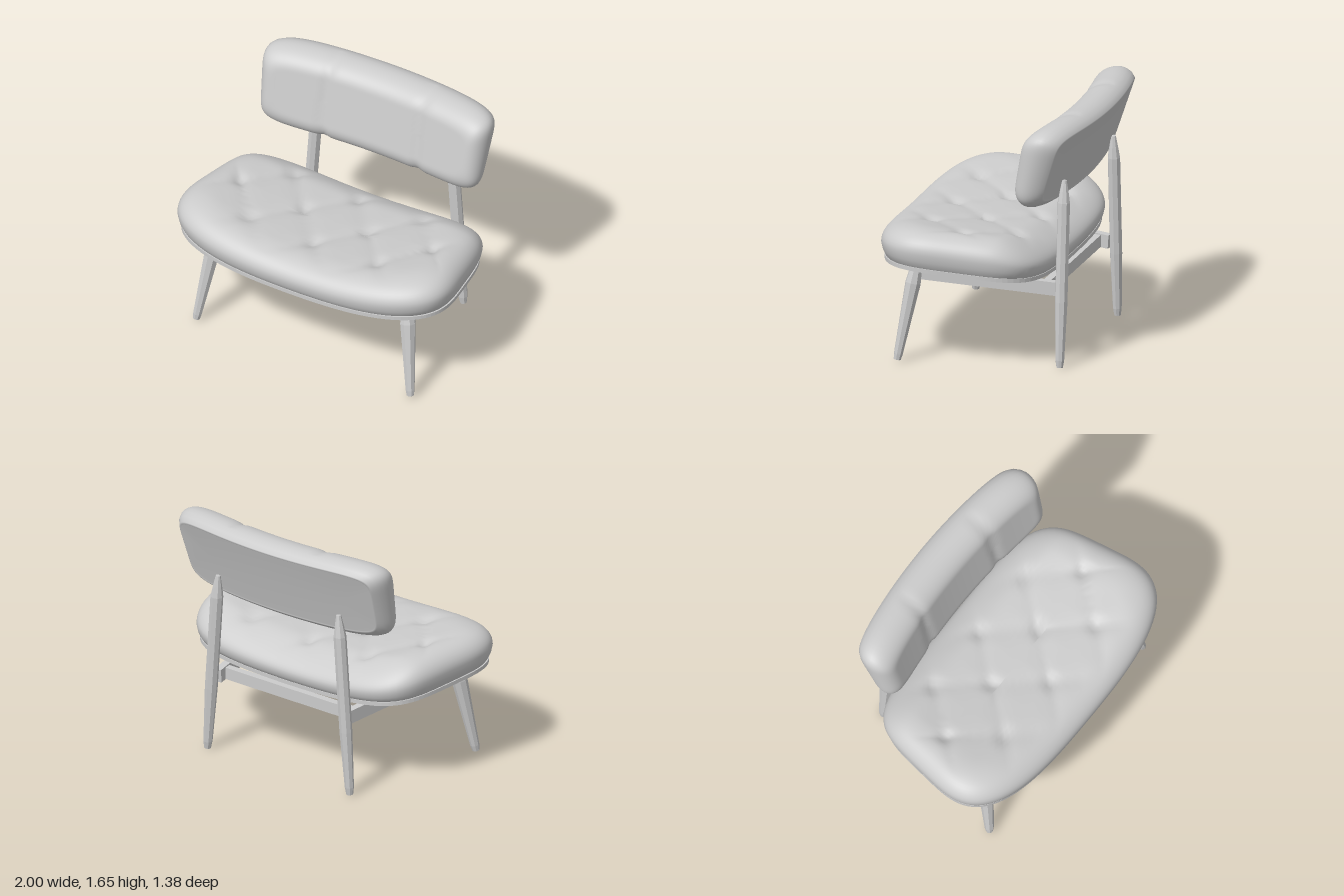
import * as THREE from 'three';
import { mergeVertices } from 'three/addons/utils/BufferGeometryUtils.js';

const material = new THREE.MeshStandardMaterial({ color: 0xcccccc });
const flat = new THREE.MeshStandardMaterial({ color: 0xcccccc, flatShading: true });
const V = (x, y, z) => new THREE.Vector3(x, y, z);

function part(name, geometry, mat = material) {
  const mesh = new THREE.Mesh(geometry, mat);
  mesh.name = name;
  return mesh;
}

// Upper half of a pillow profile: [inset from the outline, height]
function puff(halfDepth, edge, mid, top) {
  const rows = [];
  for (let k = 0; k <= 24; k++) {
    const inset = halfDepth * (1 - k / 24) ** 1.6;
    const r = Math.max(0, 1 - inset / edge);
    rows.push([inset, mid + (top - mid) * Math.sqrt(1 - r * r)]);
  }
  return rows;
}

// Closed solid from inset superellipse rings; n(sin) is the squareness, warp places each point
function ringSolid(a, b, n, rows, warp, segs = 128) {
  const pos = [], index = [];
  for (const [inset, d] of rows) {
    for (let i = 0; i < segs; i++) {
      const t = (i / segs) * Math.PI * 2, c = Math.cos(t), s = Math.sin(t), e = n(s);
      const k = (Math.abs(c) ** e + Math.abs(s) ** e) ** (-1 / e);
      pos.push(...warp((a - inset) * c * k, (b - inset) * s * k, d, inset));
    }
  }
  for (let j = 0; j < rows.length - 1; j++) {
    for (let i = 0; i < segs; i++) {
      const p = j * segs + i, q = j * segs + ((i + 1) % segs);
      index.push(p, p + segs, q, q, p + segs, q + segs);
    }
  }
  const g = new THREE.BufferGeometry();
  g.setAttribute('position', new THREE.Float32BufferAttribute(pos, 3));
  g.setIndex(index);
  const merged = mergeVertices(g, 1e-5);
  merged.computeVertexNormals();
  return merged;
}

// Tapered turned leg from foot to top; profile is [fraction along, radius]
function leg(name, foot, top, profile) {
  const dir = top.clone().sub(foot), len = dir.length();
  const pts = profile.map(([f, r]) => new THREE.Vector2(r, f * len));
  const mesh = part(name, new THREE.LatheGeometry(pts, 8), flat);
  mesh.position.copy(foot);
  mesh.quaternion.setFromUnitVectors(V(0, 1, 0), dir.normalize());
  return mesh;
}

// Rectangular rail between two points
function rail(name, a, b, height, thick) {
  const mesh = part(name, new THREE.BoxGeometry(thick, height, a.distanceTo(b)), flat);
  mesh.position.copy(a).lerp(b, 0.5);
  mesh.lookAt(b);
  return mesh;
}

// Saddle-shaped base plane of the seat
const seatBase = (x, z) => 0.605 + 0.065 * z + 0.06 * x * x;
const seatSquareness = (s) => (s > 0 ? 5 : 3.1);
const seatTaper = (z) => 1 + 0.16 * (z - 0.11);

// Button tufting: creases along a diamond lattice, with dimples where they cross
function tuft(x, z) {
  const u = x / 0.48, v = (z - 0.07) / 0.29;
  const p = Math.abs(Math.cos(Math.PI * (u + v / 2)));
  const q = Math.abs(Math.cos(Math.PI * (u - v / 2)));
  return 0.012 * (1 - Math.sqrt(Math.min(p, q))) + 0.03 * Math.exp(-(p * p + q * q) * 6);
}

function seatCushion() {
  const rows = [...puff(0.575, 0.22, 0.1, 0.25),
    [0.008, 0.06], [0.022, 0.03], [0.045, 0], [0.12, 0], [0.575, 0]];
  return ringSolid(0.98, 0.575, seatSquareness, rows, (u, v, d, inset) => {
    const z = 0.115 - v, x = u * seatTaper(z);
    const fade = d > 0.1 ? THREE.MathUtils.smoothstep(inset, 0.06, 0.2) : 0;
    // the top dips in the middle, swells at the sides and droops at the back
    const droop = 0.045 * THREE.MathUtils.smoothstep(-z, 0.18, 0.46);
    const swell = (0.05 * x * x - 0.012 - droop) * (d / 0.25);
    return [x, seatBase(x, z) + d + swell - fade * tuft(x, z), z];
  });
}

function seatBoard() {
  const rows = [[0.575, 0.022], [0.02, 0.022], [0.02, -0.004], [0.575, -0.004]];
  return ringSolid(0.98, 0.575, seatSquareness, rows, (u, v, d) => {
    const z = 0.115 - v, x = u * seatTaper(z);
    return [x, seatBase(x, z) + d, z];
  });
}

function backCushion() {
  // flat inset panel closes the rear
  const rows = [...puff(0.283, 0.12, 0, 0.138),
    [0.005, -0.03], [0.02, -0.065], [0.045, -0.092], [0.055, -0.096], [0.06, -0.088], [0.283, -0.09]];
  return ringSolid(0.83, 0.283, () => 7, rows, (u, v, d) => {
    const x = u * (1 + 0.1 * v);
    // seams split the front into three panels
    const seam = d > -0.02 ? Math.exp(-(((Math.abs(x) - 0.35) / 0.035) ** 2)) : 0;
    const y = 1.36 + v * (1 - 0.02 * seam) + 0.014 * x * x + 0.08 * d;
    // the rear leans more than the front
    const lean = 0.28 - 0.6 * d;
    return [x, y, -0.518 - lean * v + d - 0.014 * seam + 0.13 * x * x];
  }, 192);
}

export function createModel() {
  const model = new THREE.Group();
  model.add(part('seatCushion', seatCushion()));
  model.add(part('seatBoard', seatBoard(), flat));
  model.add(part('backrest', backCushion()));

  // Legs and side rails, mirrored
  for (const [side, s] of [['left', 1], ['right', -1]]) {
    model.add(leg(side + 'FrontLeg', V(0.8 * s, 0.015, 0.492), V(0.715 * s, 0.65, 0.385),
      [[0, 0], [0, 0.024], [0.06, 0.03], [0.8, 0.052], [1, 0.036], [1, 0]]));
    model.add(leg(side + 'BackLeg', V(0.59 * s, 0, -0.542), V(0.5 * s, 1.24, -0.545),
      [[0, 0], [0, 0.022], [0.04, 0.03], [0.35, 0.042], [0.88, 0.042], [0.94, 0.03], [1, 0.016], [1, 0]]));
    model.add(rail(side + 'SideRail', V(0.66 * s, 0.578, 0.37), V(0.53 * s, 0.513, -0.51), 0.09, 0.05));
  }

  // Cross rails
  model.add(rail('frontRail', V(-0.66, 0.585, 0.34), V(0.66, 0.585, 0.34), 0.06, 0.05));
  model.add(rail('backRail', V(-0.54, 0.515, -0.43), V(0.54, 0.515, -0.43), 0.08, 0.05));
  return model;
}
